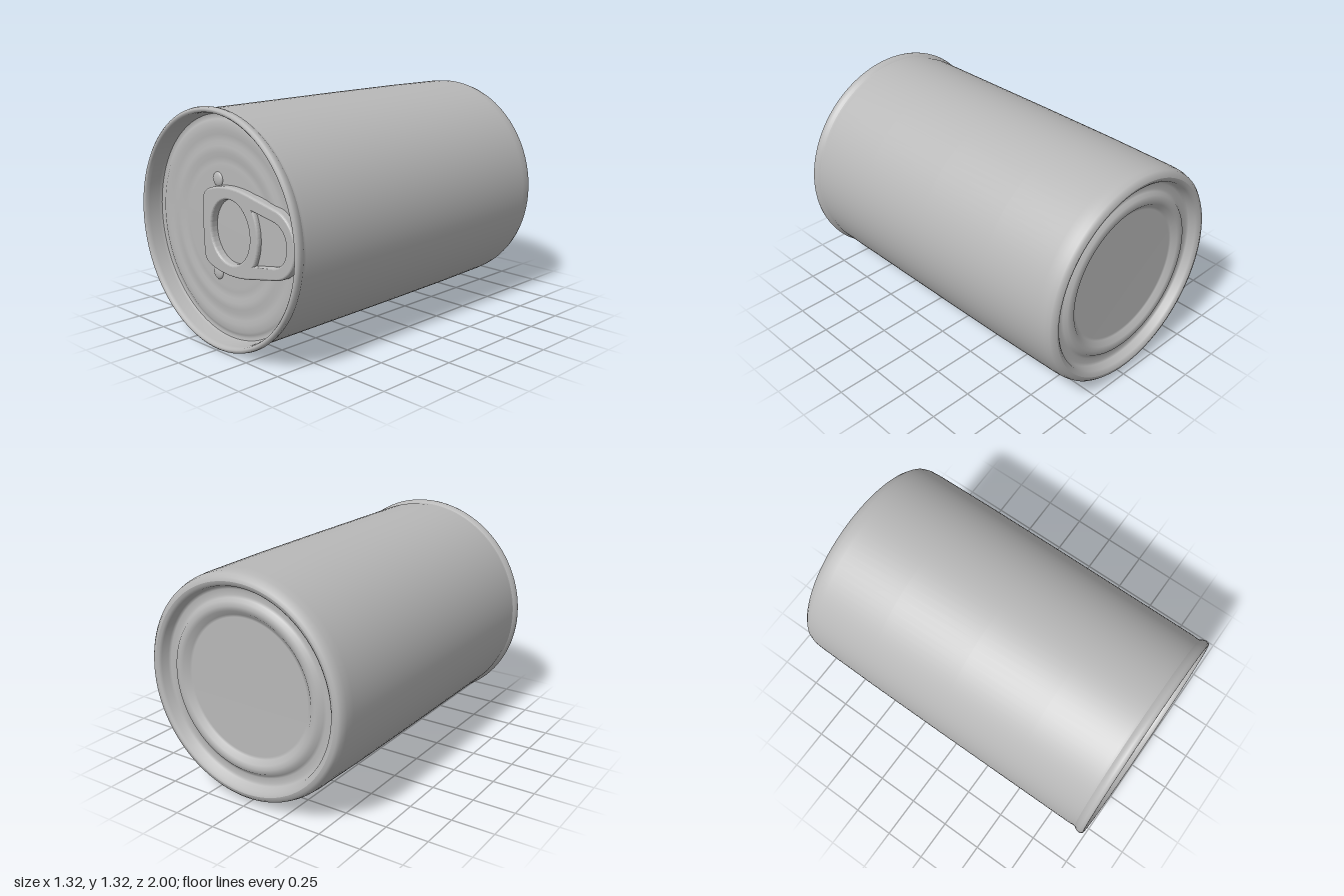
import * as THREE from 'three';

export function createModel() {
  const can = new THREE.Group();
  can.name = 'can';
  const metal = new THREE.MeshStandardMaterial({ color: 0xb8b8b8 });
  metal.name = 'grey metal';
  const cy = 0.66, lidZ = 0.9;

  const add = (name, geometry) => {
    const mesh = new THREE.Mesh(geometry, metal);
    mesh.name = name;
    can.add(mesh);
    return mesh;
  };

  // Turns a [radius, z] profile around the can's axis; the back end sits slightly off centre
  const turned = (name, profile) => {
    const points = profile.map(([r, z]) => new THREE.Vector2(r, z));
    const g = new THREE.LatheGeometry(points, 96).rotateX(Math.PI / 2);
    const p = g.attributes.position;
    for (let i = 0; i < p.count; i++) {
      const back = 1 - p.getZ(i);
      p.setXY(i, p.getX(i) - 0.004 * back, p.getY(i) + cy + 0.006 * back);
    }
    g.computeBoundingSphere();
    return add(name, g);
  };

  // Stepped bottom
  turned('bottom', [
    [0, -0.935], [0.385, -0.935], [0.4, -0.938], [0.425, -0.962], [0.45, -0.966],
    [0.475, -0.962], [0.49, -0.945], [0.505, -0.94], [0.535, -0.94], [0.55, -0.947],
    [0.562, -0.985], [0.575, -0.996], [0.59, -1],
  ]);

  // Side wall with rounded bottom edge and a neck below the rim
  turned('body', [
    [0.59, -1], [0.61, -0.995], [0.625, -0.98], [0.634, -0.95], [0.638, -0.9],
    [0.644, -0.5], [0.646, 0], [0.646, 0.5], [0.646, 0.9], [0.643, 0.925], [0.645, 0.94],
  ]);

  // Rolled rim
  turned('rim', [
    [0.645, 0.94], [0.655, 0.955], [0.66, 0.975], [0.657, 0.99], [0.648, 0.998],
    [0.638, 0.998], [0.63, 0.99], [0.626, 0.97], [0.622, 0.91], [0.615, 0.893],
  ]);

  // Lid with shallow pressed rings
  turned('lid', [
    [0.615, 0.893], [0.6, 0.889], [0.585, 0.893], [0.57, 0.901], [0.53, 0.903],
    [0.505, 0.897], [0.47, 0.896], [0.445, 0.902], [0.41, 0.903], [0.385, 0.896],
    [0.35, 0.895], [0.325, 0.9], [0, 0.9],
  ]);

  // Pull tab outline, mirrored about the tab's own centre line
  const outline = new THREE.Shape();
  outline.moveTo(-0.15, 0);
  outline.lineTo(-0.145, -0.15);
  outline.quadraticCurveTo(-0.14, -0.19, -0.09, -0.205);
  outline.quadraticCurveTo(0.05, -0.25, 0.22, -0.215);
  outline.lineTo(0.42, -0.175);
  outline.bezierCurveTo(0.52, -0.16, 0.57, -0.08, 0.57, 0);
  outline.bezierCurveTo(0.57, 0.08, 0.52, 0.16, 0.42, 0.175);
  outline.lineTo(0.22, 0.215);
  outline.quadraticCurveTo(0.05, 0.25, -0.09, 0.205);
  outline.quadraticCurveTo(-0.14, 0.19, -0.145, 0.15);
  outline.closePath();

  // Round opening and finger hollow
  const opening = new THREE.Path();
  opening.absellipse(0.07, 0, 0.172, 0.187, 0, Math.PI * 2, true);
  const hollowPath = (PathType) => {
    const h = new PathType();
    h.moveTo(0.245, -0.155);
    h.quadraticCurveTo(0.33, 0, 0.245, 0.155);
    h.lineTo(0.41, 0.13);
    h.bezierCurveTo(0.49, 0.12, 0.525, 0.06, 0.525, 0);
    h.bezierCurveTo(0.525, -0.06, 0.49, -0.12, 0.41, -0.13);
    h.closePath();
    return h;
  };
  outline.holes.push(opening, hollowPath(THREE.Path));
  const tab = add('pullTab', new THREE.ExtrudeGeometry(outline, {
    depth: 0.032, curveSegments: 20,
    bevelThickness: 0.015, bevelSize: 0.012, bevelSegments: 4,
  }));
  tab.position.set(0, cy, lidZ - 0.002);

  // Floor of the finger hollow
  const floor = add('tabHollow', new THREE.ExtrudeGeometry(hollowPath(THREE.Shape), {
    depth: 0.022, bevelEnabled: false, curveSegments: 20,
  }));
  floor.position.set(0, cy, lidZ - 0.002);

  // Small pressed dimples beside the tab
  for (const [x, y] of [[-0.07, 0.92], [-0.09, 0.4]]) {
    const bump = add('lidBump', new THREE.SphereGeometry(0.04, 20, 12));
    bump.scale.z = 0.35;
    bump.position.set(x, y, lidZ);
  }
  return can;
}
